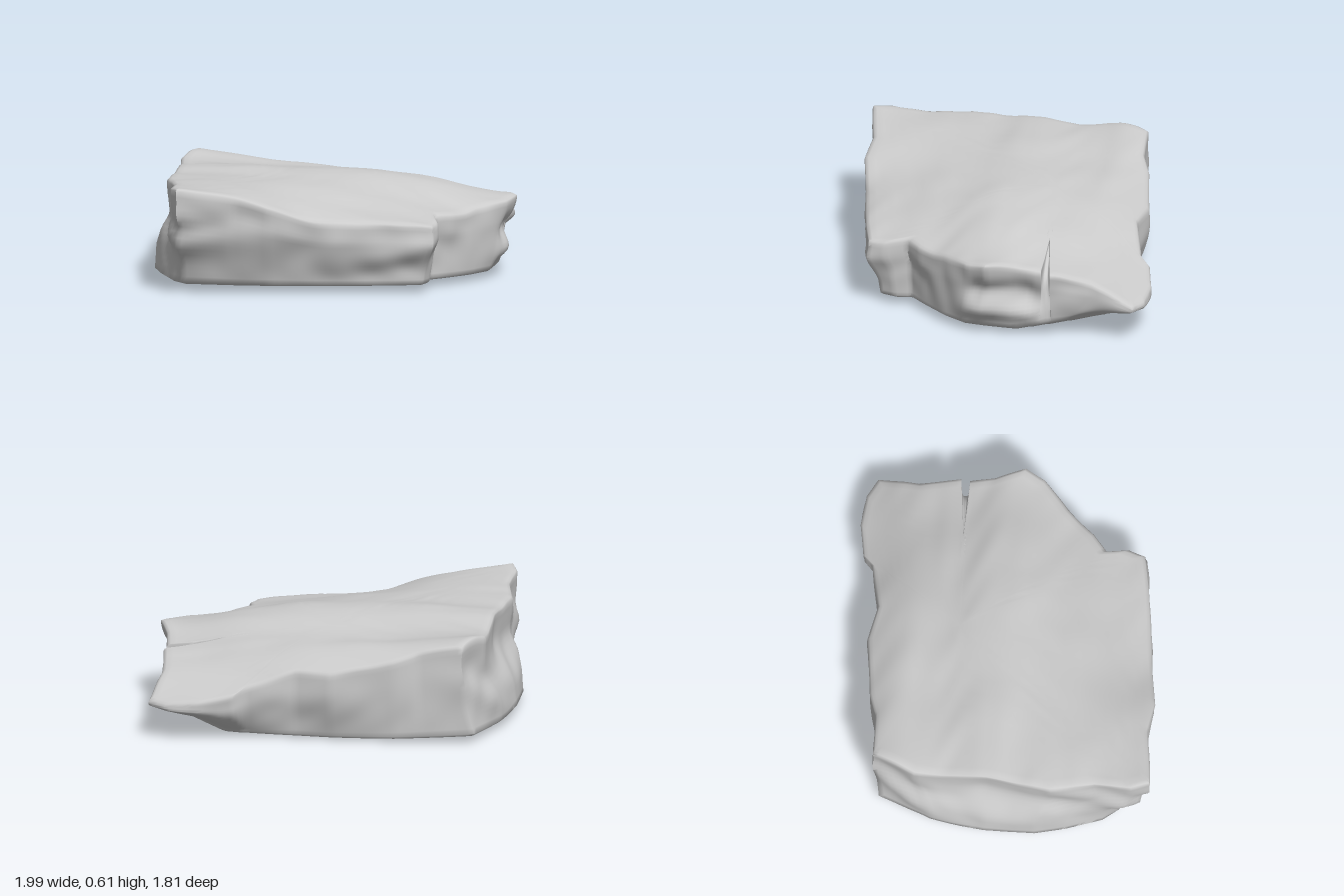
import * as THREE from 'three';
import { toCreasedNormals } from 'three/addons/utils/BufferGeometryUtils.js';

// Outline stations: rim x, z, then foot x, z (back, right, front, left)
const OUTLINE = [
  [-.82, -.64, -.88, -.60], [-.58, -.66, -.60, -.65], [-.45, -.71, -.45, -.68], [-.10, -.77, -.10, -.70],
  [.10, -.74, .10, -.70], [.37, -.81, .38, -.72], [.43, -.87, .42, -.73], [.62, -.91, .60, -.73],
  [.80, -.90, .74, -.72], [.90, -.85, .81, -.66], [.87, -.62, .85, -.50], [.91, -.39, .87, -.39],
  [.56, -.33, .875, -.36], [.90, -.34, .88, -.33], [.93, -.20, .88, -.20], [1.0, -.04, .87, 0],
  [.95, .07, .86, .10], [.80, .22, .78, .22], [.68, .38, .65, .36], [.59, .46, .56, .45],
  [.62, .58, .57, .54], [.60, .68, .54, .62], [.40, .73, .38, .66], [.10, .78, .10, .70],
  [-.30, .86, -.30, .74], [-.48, .84, -.50, .74], [-.80, .90, -.78, .72], [-.84, .80, -.85, .64],
  [-.84, .60, -.93, .44], [-.90, .36, -.98, .28], [-.88, 0, -1.0, 0], [-.90, -.40, -.97, -.30],
];

// Heights of the top, rows z = -0.9..0.9 step 0.3, columns x = -0.9..0.9 step 0.45
const HEIGHTS = [
  [.44, .40, .34, .27, .22],
  [.58, .52, .47, .40, .33],
  [.55, .54, .53, .49, .41],
  [.58, .59, .58, .54, .45],
  [.58, .57, .54, .46, .39],
  [.60, .57, .48, .42, .37],
  [.62, .55, .41, .37, .33],
];

const CX = 0, CZ = -.27; // hub of the top and underside rings
const { smoothstep } = THREE.MathUtils;

// Catmull-Rom sample of a list of numbers
function sample(list, u) {
  const n = list.length - 1;
  u = Math.min(n, Math.max(0, u));
  const i = Math.min(n - 1, Math.floor(u)), t = u - i;
  const a = list[Math.max(0, i - 1)], b = list[i], c = list[i + 1], d = list[Math.min(n, i + 2)];
  return b + .5 * t * (c - a + t * (2 * a - 5 * b + 4 * c - d + t * (3 * (b - c) + d - a)));
}

// Uneven chips in the stone
const ripple = (x, y, z) =>
  Math.sin(5 * x + 4 * z + 9 * y + 2 * Math.sin(4 * x - 5 * z - 7 * y)) +
  .5 * Math.sin(13 * x + 12 * y + 2 + 2 * Math.sin(9 * z + 8 * y)) * Math.sin(12 * z - 10 * x - 9 * y);

function topHeight(x, z) {
  const column = HEIGHTS.map((row) => sample(row, (x + .9) / .45));
  return sample(column, (z + .9) / .3) + .006 * ripple(x * .8, 0, z * 1.5);
}

// Shallow belly that sweeps up under the thin back right corner
function footHeight(x, z) {
  const belly = Math.min(.05, .006 + .055 * ((x * .85) ** 2 + ((z + .25) * 1.1) ** 2));
  return belly + .45 * Math.max(0, .82 * x - .57 * z - .82);
}

// How far a wall has moved from foot to rim at height fraction t
function wallLean(t, tx, tz, bx) {
  if (bx > .8 && bx > tx) return t ** 5; // crack, cut only into the upper part
  const straight = Math.min(1, t * 1.4);
  const rounded = Math.sin(Math.min(1, t * 1.35) * Math.PI / 2);
  const stepped = smoothstep(t, .2, .75);
  const back = smoothstep(-tz, .5, .7), left = smoothstep(-tx, .8, .87);
  const lean = straight + (rounded - straight) * back;
  return lean + (stepped - lean) * left;
}

// Shelf near the foot of the right wall, with a hollow above it
function shelf(y, x, z) {
  const reach = smoothstep(x, .75, .85) * smoothstep(z, -.36, -.24) * (1 - smoothstep(z, 0, .12));
  return reach * (.035 * Math.exp(-(((y - .15) / .05) ** 2)) - .06 * Math.exp(-(((y - .28) / .07) ** 2)));
}

// Even out the outline into short steps
function denseOutline() {
  const out = [];
  OUTLINE.forEach((p, i) => {
    const q = OUTLINE[(i + 1) % OUTLINE.length];
    const steps = Math.ceil(Math.hypot(q[0] - p[0], q[1] - p[1]) / .03);
    for (let k = 0; k < steps; k++) out.push(p.map((v, c) => v + (q[c] - v) * k / steps));
  });
  return out;
}

function slabGeometry() {
  const loop = denseOutline(), n = loop.length;
  const positions = [], index = [];
  const toHub = (v, hub, s) => hub + (v - hub) * s;
  let rows = 0;
  const addRow = (rule) => {
    loop.forEach((p) => positions.push(...rule(p)));
    rows++;
  };

  // Underside, from the hub out to the foot
  for (const s of [0, .2, .4, .6, .7, .8, .86, .92, .98]) {
    addRow(([, , bx, bz]) => {
      const x = toHub(bx, CX, s), z = toHub(bz, CZ, s);
      return [x, footHeight(x, z), z];
    });
  }
  // Broken side walls, from the foot up to the rim
  const layers = 16;
  for (let k = 0; k <= layers; k++) {
    const t = k / layers;
    addRow(([tx, tz, bx, bz]) => {
      const lean = wallLean(t, tx, tz, bx);
      const x = bx + (tx - bx) * lean, z = bz + (tz - bz) * lean;
      const low = footHeight(bx, bz) + .012, high = topHeight(tx, tz) - .018;
      const y = low + (high - low) * t;
      const s = 1 + .014 * Math.sin(Math.PI * (.06 + .86 * t)) * (ripple(x, y, z) - .3);
      return [toHub(x, CX, s) + shelf(y, x, z), y, toHub(z, CZ, s)];
    });
  }
  // Weathered top, from the rim in to the hub
  for (const s of [.992, .975, .94, .9, .84, .77, .7, .62, .54, .45, .36, .27, .18, .09, 0]) {
    addRow(([tx, tz]) => {
      const x = toHub(tx, CX, s), z = toHub(tz, CZ, s);
      return [x, topHeight(x, z) - (s > .98 ? .006 : 0), z];
    });
  }

  for (let r = 0; r < rows - 1; r++) {
    for (let j = 0; j < n; j++) {
      const a = r * n + j, b = r * n + (j + 1) % n;
      if (r > 0) index.push(a, a + n, b);
      if (r < rows - 2) index.push(b, a + n, b + n);
    }
  }
  const geometry = new THREE.BufferGeometry();
  geometry.setAttribute('position', new THREE.Float32BufferAttribute(positions, 3));
  geometry.setIndex(index);
  return toCreasedNormals(geometry, 1.1);
}

export function createModel() {
  const model = new THREE.Group();
  model.name = 'rock';
  const slab = new THREE.Mesh(slabGeometry(), new THREE.MeshStandardMaterial({ color: 0xcccccc }));
  slab.name = 'rockSlab';
  model.add(slab);
  return model;
}
